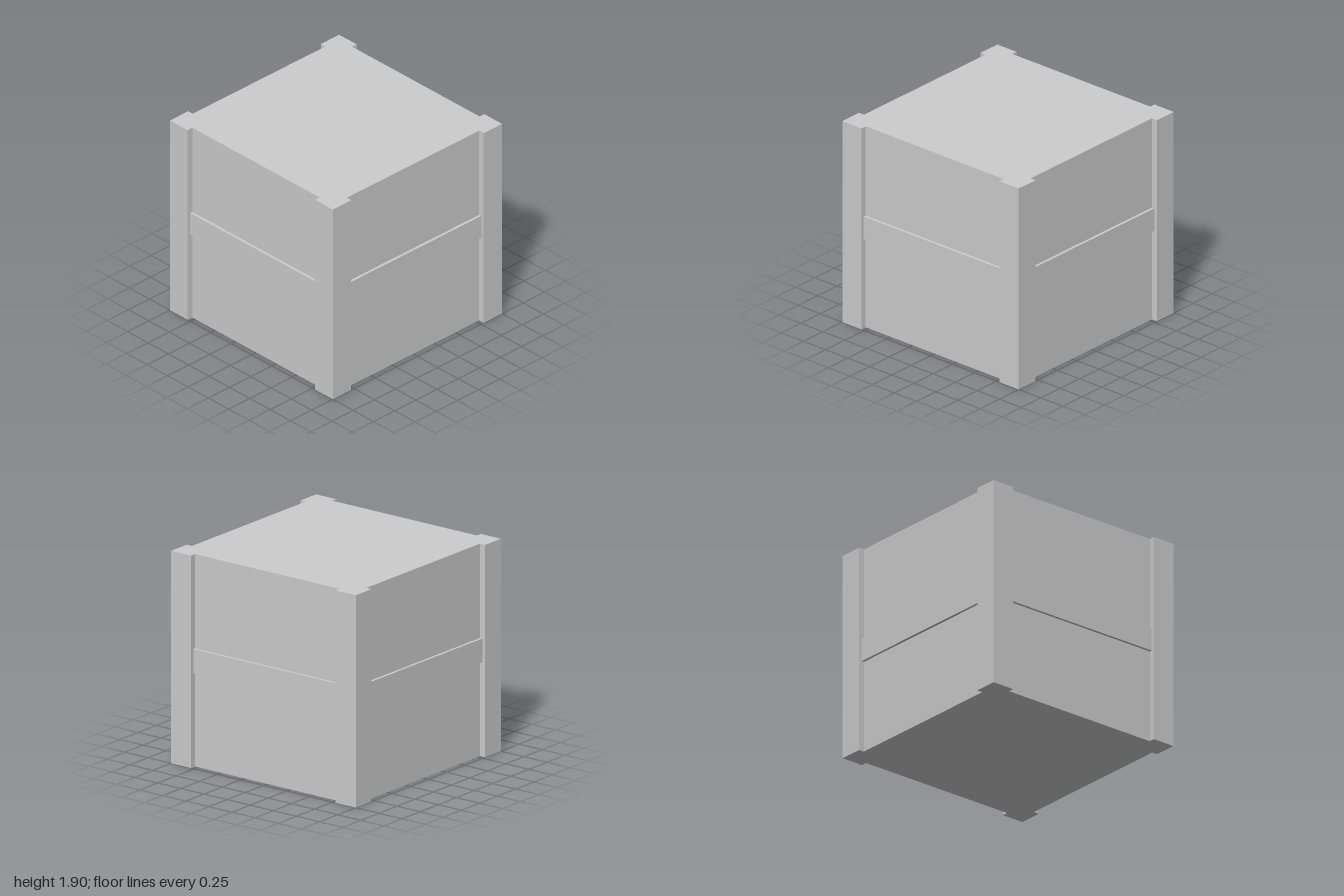
import * as THREE from 'three';

const HEIGHT = 1.9;
const INNER = 0.783; // inner edge of the corner posts
const WALL = 0.945;  // wall plane
const RAIL = 0.97;   // outer face of the middle rails

export function createModel() {
  const model = new THREE.Group();
  model.name = 'crate';
  const grey = new THREE.MeshStandardMaterial({ color: 0xcccccc });
  grey.name = 'light grey';

  const addBox = (name, w, h, d, x, y, z, parent = model) => {
    const mesh = new THREE.Mesh(new THREE.BoxGeometry(w, h, d), grey);
    mesh.name = name;
    mesh.position.set(x, y, z);
    parent.add(mesh);
    return mesh;
  };

  // Body: a square with its corners notched out for the posts
  const outline = [];
  for (let i = 0; i < 4; i++) {
    for (const [x, y] of [[WALL, -INNER], [WALL, INNER], [INNER, INNER]]) {
      outline.push(new THREE.Vector2(x, y).rotateAround(new THREE.Vector2(), i * Math.PI / 2));
    }
  }
  const bodyGeometry = new THREE.ExtrudeGeometry(new THREE.Shape(outline), { depth: HEIGHT, bevelEnabled: false });
  bodyGeometry.rotateX(-Math.PI / 2);
  const body = new THREE.Mesh(bodyGeometry, grey);
  body.name = 'body';
  model.add(body);

  // Corner posts, flush with the top and bottom
  const post = 1 - INNER;
  for (const x of [-1, 1]) {
    for (const z of [-1, 1]) {
      const name = (z > 0 ? 'front' : 'back') + (x > 0 ? 'Left' : 'Right') + 'Post';
      addBox(name, post, HEIGHT, post, x * (1 - post / 2), HEIGHT / 2, z * (1 - post / 2));
    }
  }

  // Middle rails between the posts, one on each wall
  ['front', 'left', 'back', 'right'].forEach((side, i) => {
    const pivot = new THREE.Group();
    pivot.name = side + 'Rail';
    pivot.rotation.y = i * Math.PI / 2;
    addBox('rail', INNER * 2, 0.214, RAIL - WALL, 0, HEIGHT / 2, (RAIL + WALL) / 2, pivot);
    model.add(pivot);
  });

  return model;
}
